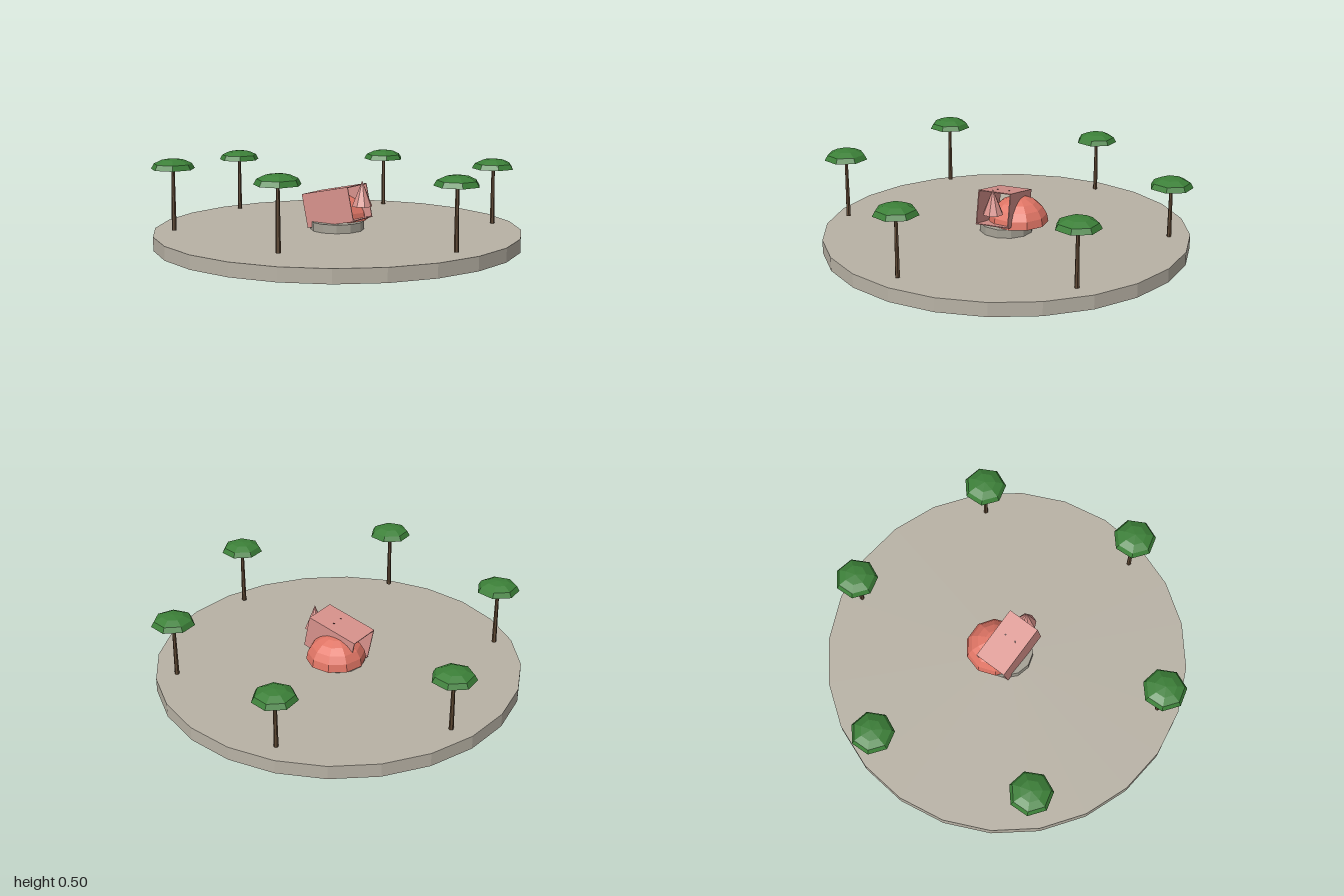
import * as THREE from 'three';

const mat = (color) => new THREE.MeshStandardMaterial({ color, flatShading: true, side: THREE.DoubleSide });
const stone = mat(0xb8b2a5), earth = mat(0x2c3c1c), plinthStone = mat(0xa5a195);
const coral = mat(0xe07565), pink = mat(0xd8928c), dark = mat(0x4a2a2a);
const bark = mat(0x5c4632), leaf = mat(0x3c8038);

function part(parent, name, geometry, material, x = 0, y = 0, z = 0) {
  const mesh = new THREE.Mesh(geometry, material);
  mesh.name = name;
  mesh.position.set(x, y, z);
  parent.add(mesh);
  return mesh;
}

// Square tube, open at both ends, running along x
function tubeGeometry(length, size, wall) {
  const square = (Type, h) => new Type([[-h, -h], [h, -h], [h, h], [-h, h]].map(p => new THREE.Vector2(...p)));
  const shape = square(THREE.Shape, size / 2);
  shape.holes.push(square(THREE.Path, size / 2 - wall));
  const geometry = new THREE.ExtrudeGeometry(shape, { depth: length, bevelEnabled: false });
  return geometry.translate(0, 0, -length / 2).rotateY(Math.PI / 2);
}

export function createModel() {
  const model = new THREE.Group();
  model.name = 'plaza';

  // Platform: open rim, stone top and earth underside
  const top = 0.075;
  part(model, 'platformRim', new THREE.CylinderGeometry(1, 1, top, 24, 1, true), stone, 0, top / 2, 0);
  const disc = new THREE.CircleGeometry(1, 24);
  const paving = part(model, 'platformTop', disc, stone, 0, top, 0);
  paving.rotation.x = -Math.PI / 2;
  const underside = part(model, 'platformUnderside', disc, earth, 0, top - 0.005, 0);
  underside.rotation.x = Math.PI / 2;

  // Central sculpture: plinth, dome, tilted tube and cone
  const sculpture = new THREE.Group();
  sculpture.name = 'sculpture';
  model.add(sculpture);
  part(sculpture, 'plinth', new THREE.CylinderGeometry(0.146, 0.146, 0.05, 12), plinthStone, 0, 0.097, 0);
  const dome = part(sculpture, 'dome',
    new THREE.SphereGeometry(0.163, 10, 5, 0, Math.PI * 2, 0, Math.PI / 2), coral, -0.025, 0.124, -0.062);
  dome.scale.y = 0.86;

  const tube = part(sculpture, 'tiltedTube', tubeGeometry(0.305, 0.187, 0.005), pink, 0.005, 0.207, 0.012);
  tube.rotation.set(0, -0.05, 0.21);
  for (const z of [-0.033, 0.033])
    part(tube, 'stud', new THREE.BoxGeometry(0.009, 0.006, 0.009), dark, 0.03, 0.092, z);

  part(sculpture, 'cone', new THREE.ConeGeometry(0.056, 0.138, 8), pink, 0.165, 0.287, 0.016);

  // Ring of six trees at uneven heights
  const canopyHeight = 0.055, trunkHeight = 0.335;
  const trunk = new THREE.CylinderGeometry(0.009, 0.013, trunkHeight, 6);
  const canopy = new THREE.SphereGeometry(0.118, 7, 3, Math.PI, Math.PI * 2, 0, Math.PI / 2);
  canopy.scale(1, canopyHeight / 0.118, 1);
  [0.468, 0.5, 0.485, 0.428, 0.41, 0.44].forEach((height, i) => {
    const angle = 0.3 + i * Math.PI / 3;
    const tree = new THREE.Group();
    tree.name = 'tree';
    tree.position.set(0.885 * Math.cos(angle), height - canopyHeight, 0.885 * Math.sin(angle));
    part(tree, 'trunk', trunk, bark, 0, 0.005 - trunkHeight / 2, 0);
    part(tree, 'canopy', canopy, leaf);
    model.add(tree);
  });

  return model;
}
